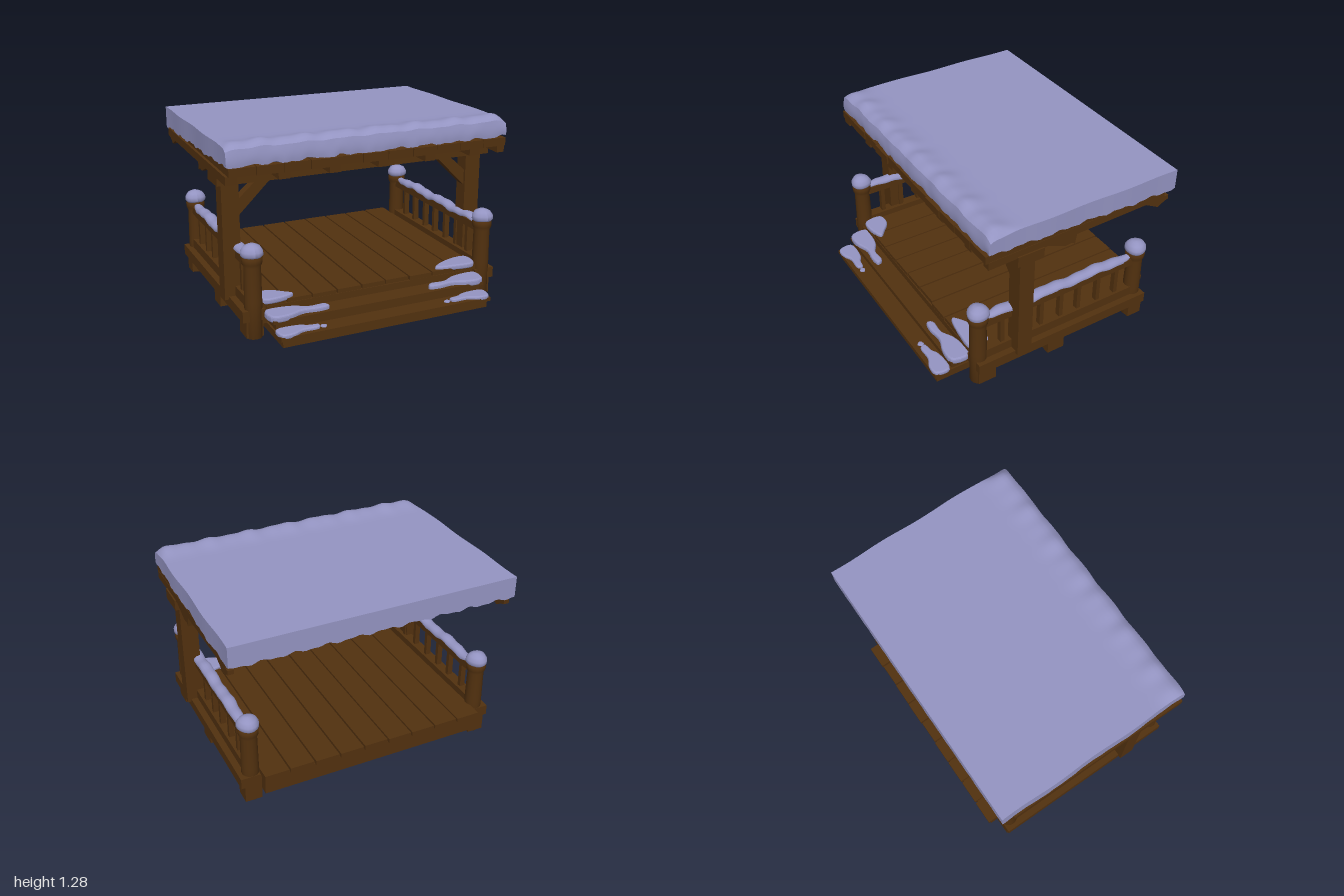
import * as THREE from 'three';

export function createModel() {
  const model = new THREE.Group();
  const wood = new THREE.MeshStandardMaterial({ color: 0x52310f });
  wood.name = 'wood';
  const snow = new THREE.MeshStandardMaterial({ color: 0x9494c2 });
  snow.name = 'snow';

  let seed = 7;
  const rand = (a, b) => {
    seed = (seed * 16807) % 2147483647;
    return a + (b - a) * (seed / 2147483647);
  };

  function add(name, geometry, material = wood, parent = model) {
    const mesh = new THREE.Mesh(geometry, material);
    mesh.name = name;
    parent.add(mesh);
    return mesh;
  }

  // Box given by its limits on each axis
  function box(name, x0, x1, y0, y1, z0, z1, parent = model) {
    const g = new THREE.BoxGeometry(x1 - x0, y1 - y0, z1 - z0);
    g.translate((x0 + x1) / 2, (y0 + y1) / 2, (z0 + z1) / 2);
    return add(name, g, wood, parent);
  }

  // Flat shape in the xy plane, extruded along z and centred there
  function slab(points, depth) {
    const shape = new THREE.Shape(points.map(([x, y]) => new THREE.Vector2(x, y)));
    return new THREE.ExtrudeGeometry(shape, { depth, bevelEnabled: false }).translate(0, 0, -depth / 2);
  }

  // Move every vertex of a geometry by a rule
  function warp(geometry, rule) {
    const p = geometry.attributes.position;
    const v = new THREE.Vector3();
    for (let i = 0; i < p.count; i++) {
      rule(v.fromBufferAttribute(p, i));
      p.setXYZ(i, v.x, v.y, v.z);
    }
    geometry.computeVertexNormals();
    return geometry;
  }

  // Soft-edged snow patch lying on a tread; outline points are [x, z]
  function snowPatch(outline, y, height) {
    const curve = new THREE.CatmullRomCurve3(outline.map(([x, z]) => new THREE.Vector3(x, z, 0)), true);
    const shape = new THREE.Shape(curve.getPoints(32).map((p) => new THREE.Vector2(p.x, p.y)));
    const bevel = height * 0.5;
    const g = new THREE.ExtrudeGeometry(shape, {
      depth: height - bevel, bevelThickness: bevel, bevelSize: 0.012, bevelOffset: -0.012, bevelSegments: 3,
    });
    g.rotateX(Math.PI / 2).translate(0, y + height - bevel, 0);
    add('snowPatch', g, snow);
  }

  // Deck: solid base with planks running front to back
  box('deckBase', -0.79, 0.79, 0.08, 0.198, -0.815, 0.57);
  for (let i = 0; i < 9; i++) {
    const x = -0.8 + i * 0.1785;
    box('deckPlank', x, x + 0.167, 0.195, 0.228 + rand(-0.003, 0.003), -0.825 - rand(0, 0.01), 0.575 + rand(0, 0.01));
  }

  // Two steps: riser block and overhanging tread
  box('lowerStep', -0.745, 0.745, 0.01, 0.062, 0.46, 0.815);
  box('lowerTread', -0.762, 0.762, 0.058, 0.084, 0.57, 0.832);
  box('upperStep', -0.75, 0.75, 0.06, 0.135, 0.46, 0.705);
  box('upperTread', -0.77, 0.77, 0.13, 0.152, 0.56, 0.72);
  box('stepBacking', -0.765, 0.765, 0.15, 0.2, 0.55, 0.585);

  // Snow drifts on the steps and the deck's front corners
  for (const s of [-1, 1]) {
    const side = (pts) => pts.map(([x, z]) => [s * x, z]);
    snowPatch(side([[0.78, 0.585], [0.6, 0.59], [0.5, 0.64], [0.39, 0.64], [0.37, 0.68], [0.44, 0.695], [0.55, 0.685], [0.66, 0.72], [0.77, 0.71]]), 0.15, 0.032);
    snowPatch(side([[0.76, 0.725], [0.6, 0.72], [0.55, 0.745], [0.48, 0.76], [0.49, 0.795], [0.6, 0.8], [0.67, 0.83], [0.75, 0.825]]), 0.082, 0.022);
    snowPatch(side([[0.43, 0.77], [0.46, 0.755], [0.475, 0.775], [0.45, 0.797]]), 0.082, 0.012);
    const reach = s > 0 ? 0.49 : 0.57;
    snowPatch(side([[0.79, 0.45], [0.7, 0.44], [reach + 0.05, 0.5], [reach, 0.55], [0.65, 0.585], [0.78, 0.58]]), 0.225, 0.026);
  }

  // Round corner post with a flared collar
  const postProfile = [[0, 0.0], [0.056, 0.0], [0.058, 0.25], [0.055, 0.48], [0.066, 0.505], [0.068, 0.535], [0.055, 0.56], [0, 0.56]]
    .map(([x, y]) => new THREE.Vector2(x, y));
  const capProfile = [[0, 0.548], [0.06, 0.545], [0.073, 0.56], [0.072, 0.585], [0.055, 0.612], [0.028, 0.625], [0, 0.628]]
    .map(([x, y]) => new THREE.Vector2(x, y));

  for (const s of [-1, 1]) {
    const side = new THREE.Group();
    side.name = s > 0 ? 'leftSide' : 'rightSide';
    model.add(side);
    const across = (name, xa, xb, y0, y1, z0, z1) =>
      box(name, Math.min(s * xa, s * xb), Math.max(s * xa, s * xb), y0, y1, z0, z1, side);

    // Sill and the blocks it rests on
    across('sill', 0.78, 0.93, 0.12, 0.195, -0.755, 0.6);
    for (const [z0, z1] of [[0.46, 0.59], [-0.085, 0.045], [-0.755, -0.645]]) {
      across('footBlock', 0.79, 0.905, 0.005, 0.125, z0, z1);
    }

    // Corner posts with snow caps
    for (const z of [0.56, -0.697]) {
      add('cornerPost', new THREE.LatheGeometry(postProfile, 14), wood, side).position.set(s * 0.845, 0, z);
      const cap = warp(new THREE.LatheGeometry(capProfile, 20), (v) => {
        const a = Math.atan2(v.z, v.x);
        const k = 1 + 0.04 * Math.sin(3 * a + z * 9);
        v.x *= k;
        v.z *= k;
      });
      add('postSnow', cap, snow, side).position.set(s * 0.845, 0, z);
    }

    // Railing
    across('topRail', 0.815, 0.88, 0.46, 0.512, -0.66, 0.53);
    across('bottomRail', 0.81, 0.885, 0.19, 0.262, -0.66, 0.53);
    for (let i = 0; i < 7; i++) {
      const z = 0.395 - i * 0.155 + rand(-0.008, 0.008);
      across('baluster', 0.83, 0.868, 0.25, 0.47, z - 0.015, z + 0.015);
    }
    const railSnow = warp(new THREE.CylinderGeometry(0.043, 0.043, 1.13, 12, 40).rotateX(Math.PI / 2), (v) => {
      const end = 1 - Math.pow(Math.abs(v.z) / 0.565, 10) * 0.5;
      const wave = 0.006 * Math.sin(v.z * 17) + 0.004 * Math.sin(v.z * 41 + s);
      v.x *= end + wave * 6;
      v.y = v.y > 0 ? v.y * 0.75 * end + wave : v.y * 0.35 + wave * 1.4;
    });
    add('railSnow', railSnow, snow, side).position.set(s * 0.847, 0.518, -0.07);

    // Roof post with its diagonal brace
    across('roofPost', 0.84, 0.957, 0.175, 0.97, 0.22, 0.328);
    const brace = slab([[0.85, 0.725], [0.85, 0.835], [0.7, 0.97], [0.6, 0.97]].map(([x, y]) => [s * x, y]), 0.07);
    add('brace', brace, wood, side).position.z = 0.275;
  }

  // Front beam carrying the roof
  box('roofBeam', -0.995, 0.995, 0.962, 1.037, 0.18, 0.37);

  // Sloping roof: boards over rafters
  const roof = new THREE.Group();
  roof.name = 'roof';
  roof.rotation.x = 0.021;
  roof.position.y = 0.003;
  model.add(roof);
  for (let i = 0; i < 11; i++) {
    const x = -0.985 + i * 0.1792;
    box('roofBoard', x, x + 0.175, 1.077 + rand(-0.004, 0.006), 1.135, -0.8 - rand(0, 0.02), 0.56 + rand(0, 0.016), roof);
  }
  for (let i = 0; i < 6; i++) {
    const x = -0.965 + i * 0.343;
    box('rafter', x - 0.038, x + 0.038, 1.03, 1.085, -0.77, 0.55, roof);
  }
  box('rafter', 0.93, 0.985, 1.03, 1.085, -0.78, 0.55, roof);

  // Splintered wood hanging under the roof edges
  const splinters = [
    [[0.2, 1.05], [0.02, 0.975], [-0.03, 0.98], [-0.055, 0.965], [-0.07, 1.05]],
    [[-0.6, 1.05], [-0.71, 0.992], [-0.76, 1.02], [-0.79, 1.03], [-0.79, 1.06]],
  ];
  for (const x of [-0.965, 0.965]) {
    for (const points of splinters) {
      const g = slab(points.map(([z, y]) => [-z, y]), 0.04).rotateY(Math.PI / 2);
      add('splinter', g).position.x = x;
    }
  }

  // Thick snow blanket with a rolled front and a ragged lower edge
  const drips = [[-0.9, 0.012], [-0.62, 0.015], [-0.31, 0.03], [-0.04, 0.04], [0.28, 0.022], [0.55, 0.016], [0.86, 0.02]];
  const blanket = warp(new THREE.BoxGeometry(1.99, 1, 1.4, 80, 6, 48), (v) => {
    const t = v.y + 0.5;
    const x = v.x;
    const z = v.z - 0.13;
    const slope = (z + 0.83) / 1.4;
    const front = Math.exp(-Math.pow((z - 0.5) / 0.09, 2));
    const ripple = 0.006 * Math.sin(x * 23) + 0.004 * Math.sin(x * 41 + 1);
    const rim = Math.max(0, (Math.abs(x) - 0.93) / 0.065);
    let top = 1.242 + 0.008 * slope + front * (0.022 + ripple - 0.03 * rim * rim);
    top -= 0.022 * Math.pow(Math.max(0, (z - 0.5) / 0.07), 2);
    let bottom = 1.096 + 0.037 * slope;
    bottom += 0.007 * Math.sin(x * 31 + z * 27) + 0.005 * Math.sin(x * 57 - z * 61);
    if (z > 0.54) {
      for (const [c, d] of drips) bottom -= d * Math.max(0, 1 - Math.abs(x - c) / 0.05);
    }
    v.y = bottom + (top - bottom) * t;
    v.z = z + (z > 0.56 ? 0.012 * Math.sin(Math.PI * (1 - t) * 0.7) - 0.006 + 0.003 * Math.sin(x * 19) : 0);
    v.x = x + Math.sign(x) * (Math.abs(x) > 0.99 ? 0.004 * Math.sin(z * 11) : 0);
  });
  add('roofSnow', blanket, snow);

  return model;
}
